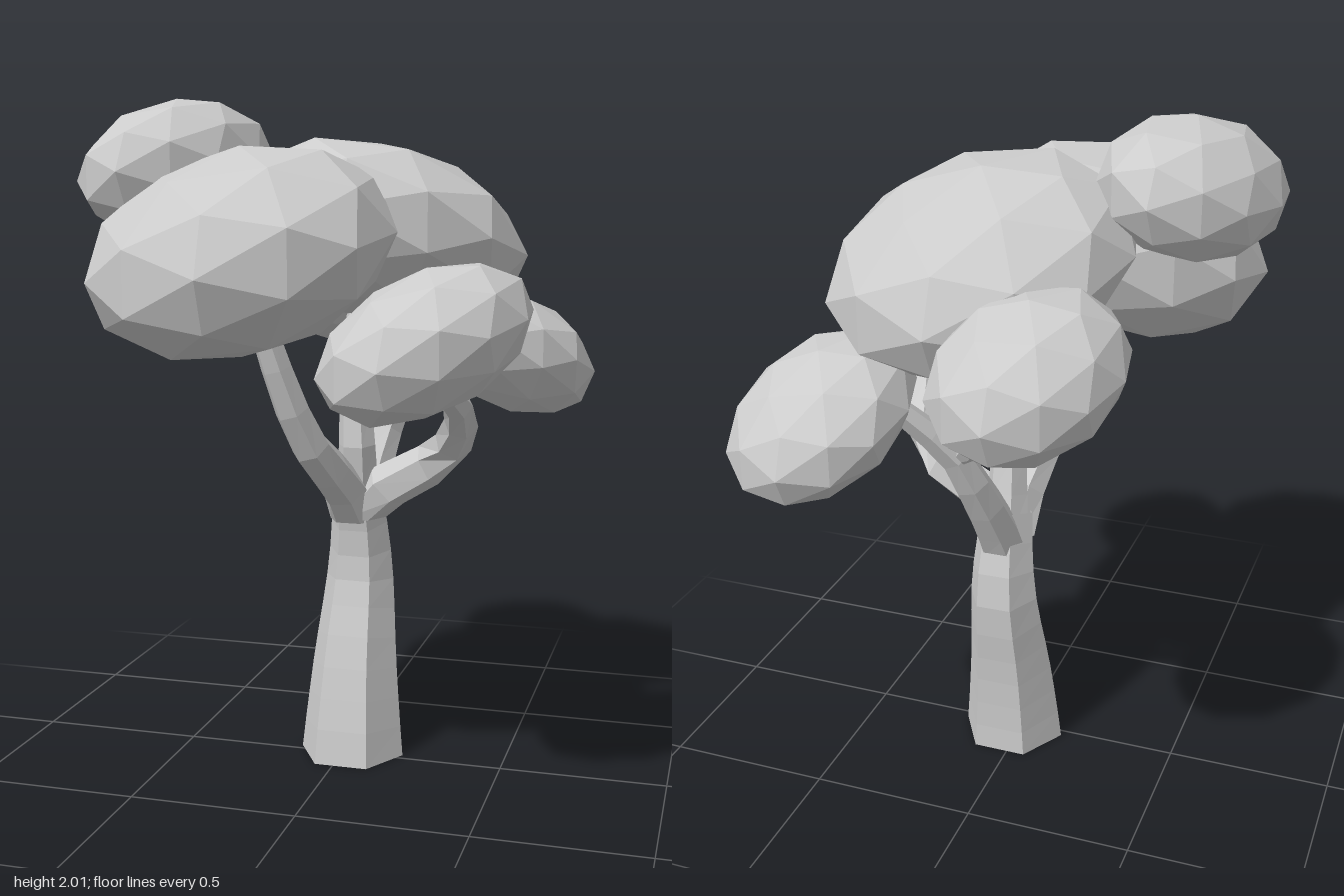
import * as THREE from 'three';

const leafMaterial = new THREE.MeshStandardMaterial({ color: 0xcccccc, flatShading: true });
const woodMaterial = new THREE.MeshStandardMaterial({ color: 0xcccccc, flatShading: true, side: THREE.DoubleSide });
const vec = (p) => new THREE.Vector3(...p);

// Tapered six-sided open limb swept along a smooth path
function limb(name, path, r0, r1, segments) {
  const curve = new THREE.CatmullRomCurve3(path.map(vec));
  const geometry = new THREE.CylinderGeometry(1, 1, 1, 6, segments, true, Math.PI / 2);
  const pos = geometry.attributes.position;
  const up = new THREE.Vector3(0, 1, 0);
  const turn = new THREE.Quaternion();
  const v = new THREE.Vector3();
  for (let i = 0; i < pos.count; i++) {
    const t = THREE.MathUtils.clamp(pos.getY(i) + 0.5, 0, 1);
    const r = THREE.MathUtils.lerp(r0, r1, t);
    v.set(pos.getX(i) * r, 0, pos.getZ(i) * r);
    // The first ring stays level
    if (t > 0) v.applyQuaternion(turn.setFromUnitVectors(up, curve.getTangentAt(t)));
    v.add(curve.getPointAt(t));
    pos.setXYZ(i, v.x, v.y, v.z);
  }
  geometry.computeVertexNormals();
  const mesh = new THREE.Mesh(geometry, woodMaterial);
  mesh.name = name;
  return mesh;
}

// Faceted leaf clump: half extents plus the lean of x along z, y along z and y along x
function clump(name, centre, [ex, ey, ez], xAlongZ, yAlongZ, yAlongX) {
  const rx = Math.sqrt(ex * ex - xAlongZ * xAlongZ);
  const leanX = (yAlongX * ex - xAlongZ * yAlongZ) / rx;
  const ry = Math.sqrt(ey * ey - leanX * leanX - yAlongZ * yAlongZ);
  const geometry = new THREE.IcosahedronGeometry(1.02, 1);
  geometry.applyMatrix4(new THREE.Matrix4().set(
    rx, 0, xAlongZ, 0,
    leanX, ry, yAlongZ, 0,
    0, 0, ez, 0,
    0, 0, 0, 1));
  geometry.computeVertexNormals();
  const mesh = new THREE.Mesh(geometry, leafMaterial);
  mesh.position.set(...centre);
  mesh.name = name;
  return mesh;
}

export function createModel() {
  const tree = new THREE.Group();
  tree.name = 'tree';

  // Trunk, bending backward and then forward to the fork
  tree.add(limb('trunk', [[0.025, 0, -0.025], [0.025, 0.1, -0.033], [0.025, 0.3, -0.06],
    [0.028, 0.55, -0.108], [0.03, 0.68, -0.1], [0.03, 0.82, -0.065]], 0.163, 0.08, 9));

  // Branches: path, base radius, tip radius
  const branches = [
    ['frontBranch', [[0.02, 0.74, -0.06], [0.01, 0.86, 0.03], [0, 0.915, 0.11],
      [-0.02, 0.98, 0.21], [-0.07, 1.14, 0.3], [-0.13, 1.38, 0.37]], 0.075, 0.04],
    ['frontLeftBranch', [[0.04, 0.75, -0.07], [0.15, 0.87, -0.03], [0.29, 0.945, -0.02],
      [0.37, 1.04, 0.08], [0.41, 1.14, 0.25], [0.4, 1.22, 0.42]], 0.08, 0.035],
    ['middleBranch', [[0.03, 0.75, -0.08], [0.04, 1, -0.02], [0.025, 1.2, -0.055], [0.02, 1.45, -0.13]], 0.07, 0.032],
    ['backLeftBranch', [[0.03, 0.7, -0.1], [0.04, 0.83, -0.165], [0.06, 0.95, -0.24],
      [0.1, 1.09, -0.305], [0.22, 1.25, -0.4]], 0.075, 0.035],
    ['backRightTwig', [[0.09, 1.07, -0.29], [0.02, 1.17, -0.35], [-0.06, 1.25, -0.4], [-0.15, 1.36, -0.47]], 0.036, 0.024],
  ];
  for (const [name, path, base, tip] of branches) tree.add(limb(name, path, base, tip, 6));

  // Leaf clumps
  tree.add(
    clump('crownLeaves', [0.09, 1.612, -0.1], [0.44, 0.285, 0.432], 0, 0.09, -0.055),
    clump('frontLeaves', [-0.19, 1.575, 0.37], [0.44, 0.295, 0.43], 0.03, -0.05, 0.055),
    clump('upperRightLeaves', [-0.45, 1.805, 0.17], [0.25, 0.2, 0.325], -0.05, -0.01, 0.035),
    clump('frontLeftLeaves', [0.365, 1.35, 0.495], [0.268, 0.21, 0.305], -0.055, -0.045, 0.075),
    clump('backLeftLeaves', [0.44, 1.228, -0.45], [0.262, 0.21, 0.28], 0, 0.08, -0.05),
    clump('backRightLeaves', [-0.195, 1.455, -0.51], [0.255, 0.207, 0.29], -0.02, 0.055, -0.02),
  );
  return tree;
}
